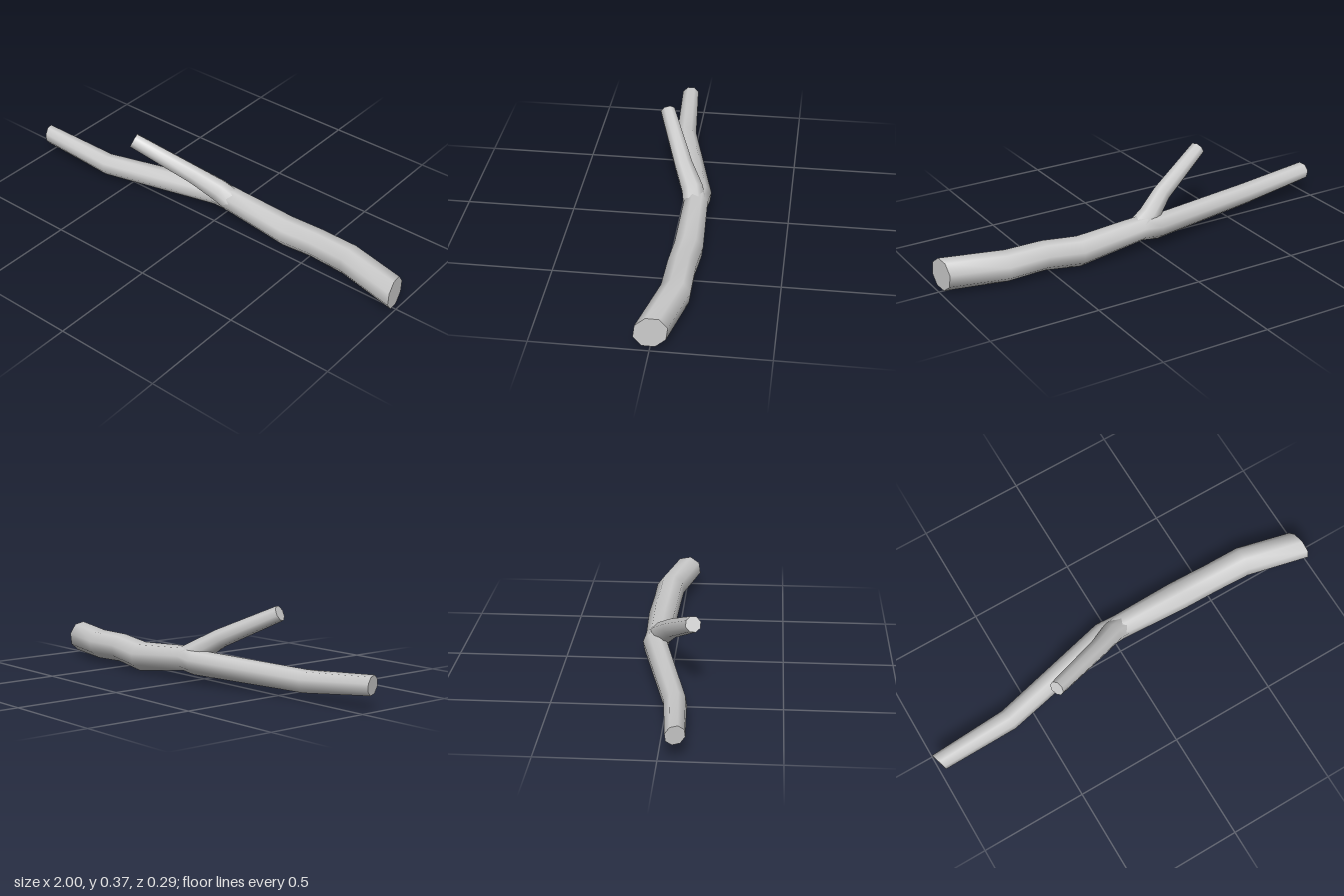
import * as THREE from 'three';

const SIDES = 8;
const material = new THREE.MeshStandardMaterial({ color: 0xcccccc });

// Smooth-sided limb with flat caps; each ring is [x, y, z, radius, optional cut normal]
function limb(name, rings, twist) {
  const pos = [], index = [];
  const centres = rings.map(r => new THREE.Vector3(r[0], r[1], r[2]));
  const last = rings.length - 1;
  const loops = rings.map(([, , , radius, cut], i) => {
    const before = centres[Math.max(i - 1, 0)], after = centres[Math.min(i + 1, last)];
    const dir = cut ? new THREE.Vector3(...cut).normalize()
      : centres[i].clone().sub(before).normalize()
        .add(after.clone().sub(centres[i]).normalize()).normalize();
    const side = new THREE.Vector3().crossVectors(dir, new THREE.Vector3(0, 1, 0)).normalize();
    const up = new THREE.Vector3().crossVectors(side, dir);
    return Array.from({ length: SIDES }, (_, k) => {
      const a = twist + k * Math.PI * 2 / SIDES;
      return centres[i].clone()
        .addScaledVector(up, Math.cos(a) * radius)
        .addScaledVector(side, Math.sin(a) * radius);
    });
  });
  loops.forEach(loop => loop.forEach(p => pos.push(p.x, p.y, p.z)));
  for (let i = 0; i < last; i++) {
    for (let k = 0; k < SIDES; k++) {
      const a = i * SIDES + k, b = i * SIDES + (k + 1) % SIDES;
      index.push(a, b, b + SIDES, a, b + SIDES, a + SIDES);
    }
  }
  // Caps use their own vertices so their rims stay sharp
  [0, last].forEach(i => {
    const start = pos.length / 3;
    loops[i].forEach(p => pos.push(p.x, p.y, p.z));
    for (let k = 1; k < SIDES - 1; k++) {
      if (i === 0) index.push(start, start + k + 1, start + k);
      else index.push(start, start + k, start + k + 1);
    }
  });
  const geometry = new THREE.BufferGeometry();
  geometry.setAttribute('position', new THREE.Float32BufferAttribute(pos, 3));
  geometry.setIndex(index);
  geometry.computeVertexNormals();
  const mesh = new THREE.Mesh(geometry, material);
  mesh.name = name;
  return mesh;
}

export function createModel() {
  const group = new THREE.Group();
  group.name = 'branch';

  // Main stem, thin end to thick end, with slanted cuts at both ends
  group.add(limb('mainStem', [
    [-0.987, 0.112, 0.07, 0.044, [1, 0.08, -0.3]],
    [-0.62, 0.078, 0.046, 0.051],
    [-0.045, 0.096, -0.085, 0.057],
    [0.035, 0.103, -0.076, 0.058],
    [0.36, 0.07, -0.081, 0.069],
    [0.53, 0.088, -0.071, 0.067],
    [0.71, 0.084, -0.068, 0.07],
    [0.986, 0.085, -0.003, 0.073, [1, 0.02, -0.15]],
  ], 0.26));

  // Side twig forking up and forward
  group.add(limb('sideTwig', [
    [0.05, 0.098, -0.076, 0.056],
    [-0.02, 0.14, -0.055, 0.053],
    [-0.12, 0.208, -0.002, 0.044],
    [-0.39, 0.34, 0.107, 0.036],
  ], 0.2));

  return group;
}
